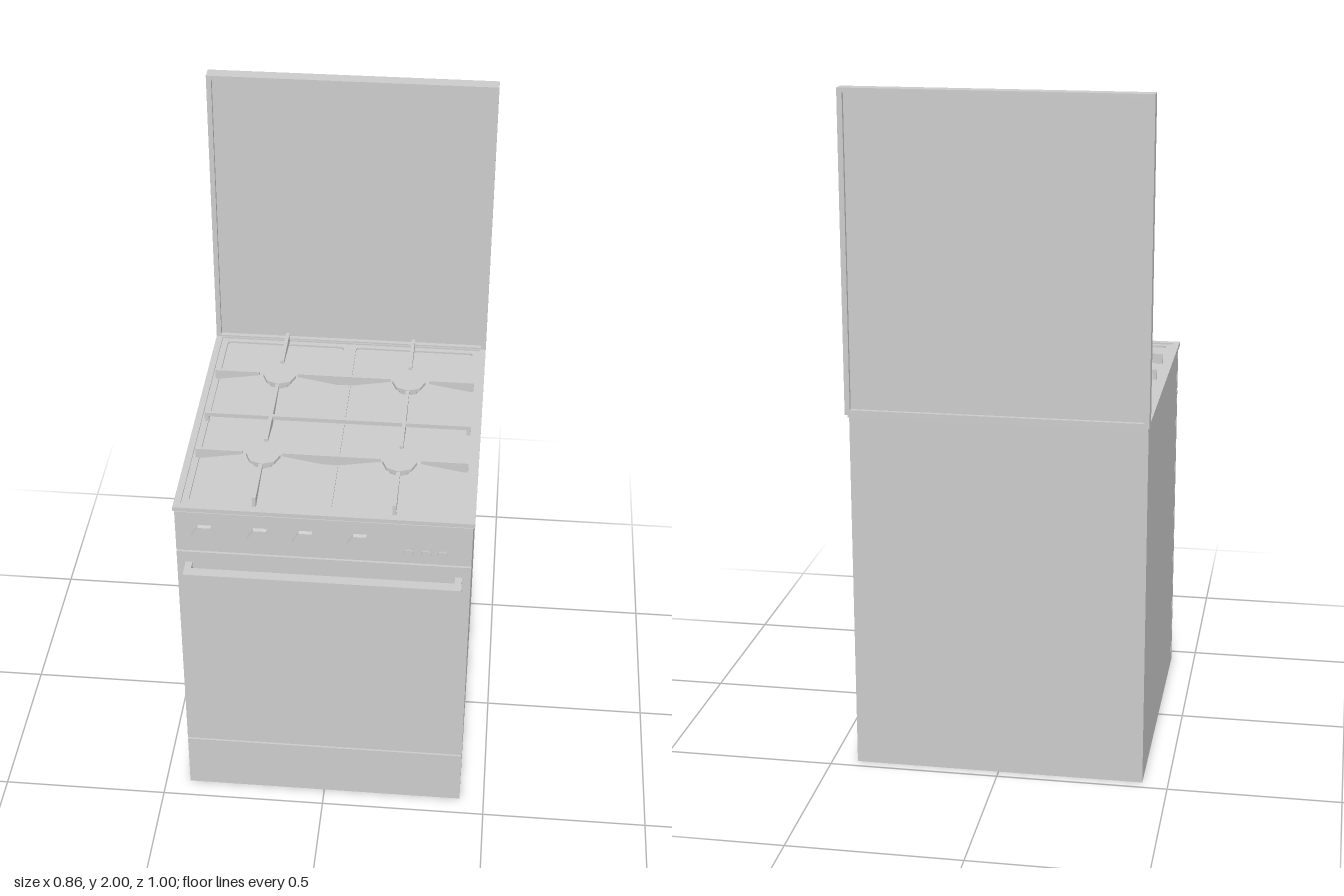
import * as THREE from 'three';

const material = new THREE.MeshStandardMaterial({ color: 0xcccccc, flatShading: true });

function add(parent, name, geometry) {
  const mesh = new THREE.Mesh(geometry, material);
  mesh.name = name;
  parent.add(mesh);
  return mesh;
}

// Box given by its lower and upper limits on each axis
function box(parent, name, [x0, x1], [y0, y1], [z0, z1]) {
  const mesh = add(parent, name, new THREE.BoxGeometry(x1 - x0, y1 - y0, z1 - z0));
  mesh.position.set((x0 + x1) / 2, (y0 + y1) / 2, (z0 + z1) / 2);
  return mesh;
}

function roundedRect(path, x0, x1, y0, y1, r) {
  path.moveTo(x0 + r, y0);
  path.lineTo(x1 - r, y0).quadraticCurveTo(x1, y0, x1, y0 + r);
  path.lineTo(x1, y1 - r).quadraticCurveTo(x1, y1, x1 - r, y1);
  path.lineTo(x0 + r, y1).quadraticCurveTo(x0, y1, x0, y1 - r);
  path.lineTo(x0, y0 + r).quadraticCurveTo(x0, y0, x0 + r, y0);
  return path;
}

// Horizontal sheet with rectangular openings; limits are [x0, x1, z0, z1, radius]
function sheet(parent, name, outer, holes, y0, y1) {
  const path = (p, [x0, x1, z0, z1, r]) => roundedRect(p, x0, x1, -z1, -z0, r);
  const shape = path(new THREE.Shape(), outer);
  holes.forEach((h) => shape.holes.push(path(new THREE.Path(), h)));
  const geometry = new THREE.ExtrudeGeometry(shape, { depth: y1 - y0, bevelEnabled: false, curveSegments: 3 });
  geometry.rotateX(-Math.PI / 2).translate(0, y0, 0);
  return add(parent, name, geometry);
}

// Grate finger: tall at its foot, tapering towards the burner
function finger(parent, x0, z0, x1, z1) {
  const length = Math.hypot(x1 - x0, z1 - z0);
  const profile = new THREE.Shape([[0, 1.087], [0.012, 1.087], [length, 1.109], [length, 1.119], [0, 1.119]]
    .map(([a, b]) => new THREE.Vector2(a, b)));
  const geometry = new THREE.ExtrudeGeometry(profile, { depth: 0.011, bevelEnabled: false });
  geometry.translate(0, 0, -0.0055);
  const mesh = add(parent, 'grateFinger', geometry);
  mesh.position.set(x0, 0, z0);
  mesh.rotation.y = -Math.atan2(z1 - z0, x1 - x0);
}

export function createModel() {
  const model = new THREE.Group();
  model.name = 'cooker';

  // Cabinet and front panels, separated by narrow grooves
  box(model, 'cabinet', [-0.425, 0.425], [0, 1.08], [-0.47, 0.405]);
  box(model, 'frontCore', [-0.418, 0.418], [0.005, 1.075], [0.4, 0.42]);
  box(model, 'drawerFront', [-0.425, 0.425], [0, 0.184], [0.41, 0.44]);
  box(model, 'ovenDoor', [-0.425, 0.425], [0.19, 0.934], [0.41, 0.44]);
  box(model, 'controlPanel', [-0.425, 0.425], [0.94, 1.078], [0.41, 0.44]);

  // Oven handle
  const handle = new THREE.Group();
  handle.name = 'ovenHandle';
  model.add(handle);
  box(handle, 'handleBar', [-0.4, 0.4], [0.87, 0.897], [0.468, 0.5]);
  for (const s of [-1, 1]) {
    box(handle, 'handlePost', s < 0 ? [-0.4, -0.38] : [0.38, 0.4], [0.87, 0.897], [0.435, 0.47]);
  }

  // Control knobs and small buttons
  for (const x of [-0.34, -0.18, -0.05, 0.105]) {
    const knob = add(model, 'knob', new THREE.CylinderGeometry(0.037, 0.04, 0.012, 6));
    knob.rotation.set(Math.PI / 2, Math.PI / 2, 0);
    knob.position.set(x, 1, 0.445);
  }
  for (const x of [0.245, 0.295, 0.342]) {
    const button = add(model, 'button', new THREE.CylinderGeometry(0.015, 0.015, 0.006, 8));
    button.rotation.x = Math.PI / 2;
    button.position.set(x, 0.975, 0.442);
  }

  // Cooktop: outer rim, stepped inner sheet with two shallow pans, and floor
  const cooktop = new THREE.Group();
  cooktop.name = 'cooktop';
  model.add(cooktop);
  sheet(cooktop, 'rim', [-0.43, 0.43, -0.46, 0.44, 0], [[-0.41, 0.41, -0.455, 0.417, 0.002]], 1.08, 1.093);
  sheet(cooktop, 'panSurround', [-0.411, 0.411, -0.456, 0.418, 0],
    [[-0.39, -0.02, -0.438, 0.4, 0.012], [0.02, 0.39, -0.438, 0.4, 0.012]], 1.08, 1.088);
  box(cooktop, 'panFloor', [-0.42, 0.42], [1.076, 1.082], [-0.456, 0.43]);

  // Burners and the grate fingers around them
  const grate = new THREE.Group();
  grate.name = 'grate';
  model.add(grate);
  for (const z of [-0.23, 0.185]) {
    const end = z < 0 ? -0.455 : 0.41;
    const gap = z < 0 ? 0.065 : 0.063;
    for (const s of [-1, 1]) {
      const base = add(model, 'burnerBase', new THREE.CylinderGeometry(0.035, 0.035, 0.022, 8));
      base.position.set(s * 0.2, 1.091, z);
      const cap = add(model, 'burnerCap', new THREE.CylinderGeometry(0.051, 0.051, 0.01, 8));
      cap.position.set(s * 0.2, 1.106, z);
      finger(grate, s * 0.4, z, s * 0.262, z);
      finger(grate, s * 0.006, z, s * 0.145, z);
      finger(grate, s * 0.2, end, s * 0.2, z + Math.sign(end) * gap);
      finger(grate, s * 0.2, 0, s * 0.2, z - Math.sign(end) * gap);
    }
    box(grate, 'grateJoint', [-0.007, 0.007], [1.087, 1.119], [z - 0.0055, z + 0.0055]);
  }
  box(grate, 'grateCrossbar', [-0.4, 0.4], [1.106, 1.119], [-0.0055, 0.0055]);
  for (const x of [-0.394, 0.394]) {
    box(grate, 'grateFoot', [x - 0.006, x + 0.006], [1.085, 1.119], [-0.0055, 0.0055]);
  }

  // Raised lid: frame around a thinner panel, with a hinge strip underneath
  const lid = new THREE.Group();
  lid.name = 'lid';
  model.add(lid);
  const frame = roundedRect(new THREE.Shape(), -0.43, 0.43, 1.083, 2, 0);
  frame.holes.push(roundedRect(new THREE.Path(), -0.415, 0.415, 1.098, 1.988, 0));
  const frameGeometry = new THREE.ExtrudeGeometry(frame, { depth: 0.042, bevelEnabled: false });
  add(lid, 'lidFrame', frameGeometry.translate(0, 0, -0.5));
  box(lid, 'lidPanel', [-0.42, 0.42], [1.09, 1.994], [-0.488, -0.472]);
  box(lid, 'hingeStrip', [-0.425, 0.425], [1.072, 1.085], [-0.486, -0.465]);

  return model;
}
